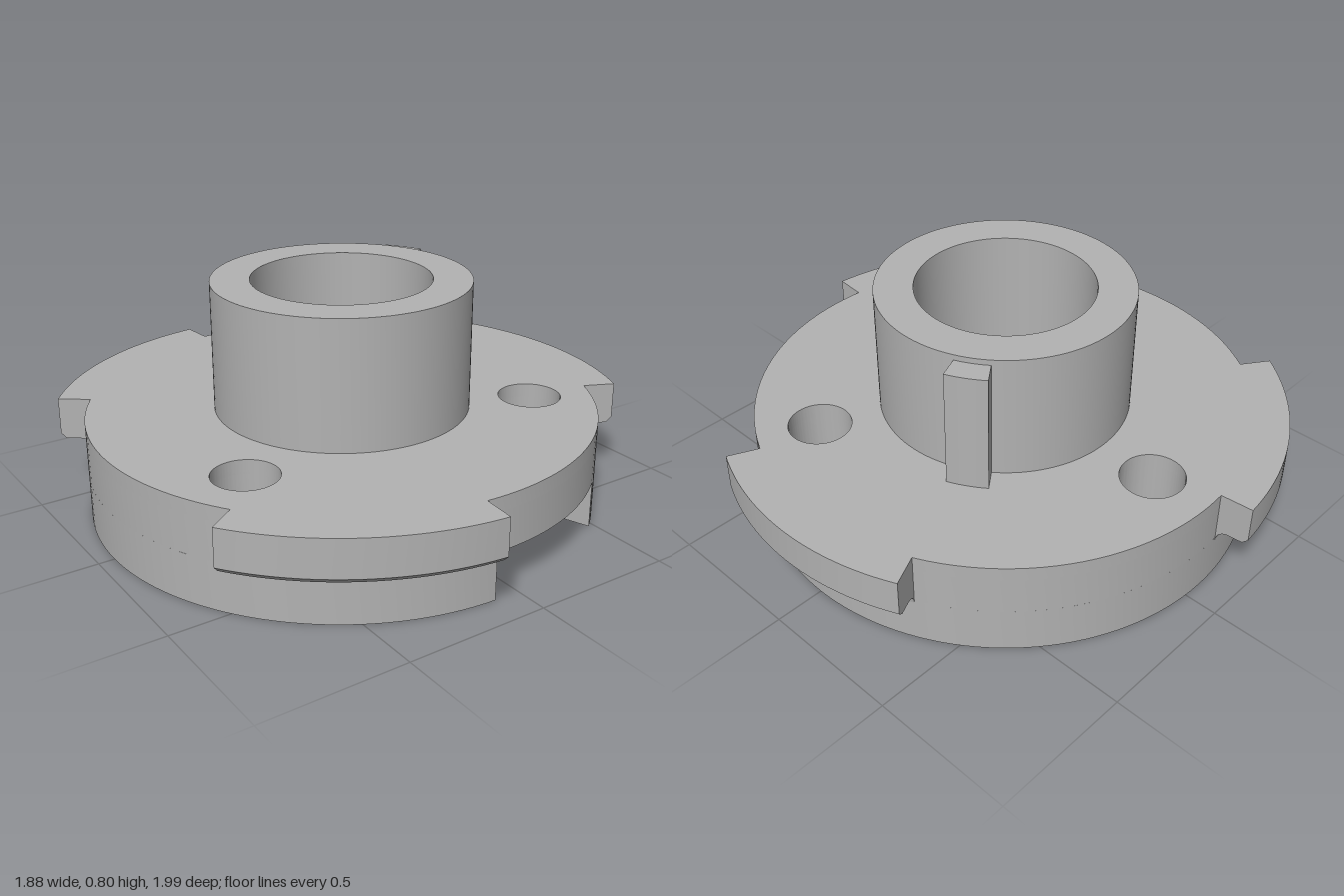
import * as THREE from 'three';
import { toCreasedNormals } from 'three/addons/utils/BufferGeometryUtils.js';

const R = 0.885;          // flange radius
const BOLT = 0.665;       // bolt circle radius
const HOLE = 0.11;        // bolt hole radius
const rad = THREE.MathUtils.degToRad;
const polar = (r, deg) => [r * Math.cos(rad(deg)), r * Math.sin(rad(deg))];

function circlePath(x, z, r) {
  return new THREE.Path().absarc(x, z, r, 0, Math.PI * 2, false);
}

// Plan shape in (x, z), extruded upward from y0 to y1
function slab(shape, y0, y1) {
  const g = new THREE.ExtrudeGeometry(shape, { depth: y1 - y0, bevelEnabled: false, curveSegments: 64 });
  g.rotateX(Math.PI / 2).translate(0, y1, 0);
  return toCreasedNormals(g, 0.5);
}

function disc(r, holes) {
  const s = new THREE.Shape();
  s.absarc(0, 0, r, 0, Math.PI * 2, false);
  s.holes = holes;
  return s;
}

// Radial profile (r, y) swept around the axis, centred on angle deg
function sweep(points, deg, halfDeg) {
  const shape = new THREE.Shape(points.map(([r, y]) => new THREE.Vector2(r, y)));
  const g = new THREE.ExtrudeGeometry(shape, { depth: 1, steps: 24, bevelEnabled: false });
  const p = g.attributes.position;
  for (let i = 0; i < p.count; i++) {
    const r = p.getX(i);
    const a = rad(deg + (p.getZ(i) - 0.5) * 2 * halfDeg);
    p.setXYZ(i, r * Math.cos(a), p.getY(i), r * Math.sin(a));
  }
  return toCreasedNormals(g, 0.5);
}

// Underside layer: disc outline with the branching channel cut in from the rim
function channelShape() {
  const s = new THREE.Shape();
  const arc = (x, z, r, a, b, cw = false) => s.absarc(x, z, r, rad(a), rad(b), cw);
  const lines = (pts) => pts.forEach(([x, z]) => s.lineTo(x, z));
  s.moveTo(...polar(R, 92));
  // long wall, then the branch to the left-hand bolt hole
  s.lineTo(-0.165, 0.41);
  s.quadraticCurveTo(-0.185, 0.335, -0.27, 0.35);
  arc(...polar(BOLT, 150), HOLE, 45, 265);
  lines([[-0.23, 0.206], [-0.13, 0.25]]);
  // round centre pocket
  arc(0, 0, 0.19, 115, 298);
  // branch to the rear bolt hole
  arc(...polar(BOLT, 270), HOLE, 114, 350);
  lines([[0.3, -0.04], [0.2, 0.05], [0.1, 0.19], [0.09, 0.31], [0.16, 0.31]]);
  // wavy fingers beside the channel
  s.quadraticCurveTo(0.23, 0.17, 0.32, 0.24);
  s.quadraticCurveTo(0.31, 0.33, 0.23, 0.45);
  s.lineTo(0.3, 0.47);
  s.quadraticCurveTo(0.34, 0.34, 0.467, 0.31);
  // front bolt hole and back out to the rim
  arc(...polar(BOLT, 30), HOLE, 192, 475);
  s.lineTo(0.46, 0.48);
  s.lineTo(...polar(R, 52.4));
  arc(0, 0, R, 52.4, 92 - 360, true);
  // blind pin holes
  s.holes = [5.5, 119.5, 189.4, 310].map((a) => circlePath(...polar(0.56, a), 0.085));
  return s;
}

export function createModel() {
  const group = new THREE.Group();
  const metal = new THREE.MeshStandardMaterial({ color: 0xb2b2b2 });
  metal.name = 'plain grey';
  const add = (name, geometry) => {
    const mesh = new THREE.Mesh(geometry, metal);
    mesh.name = name;
    group.add(mesh);
  };

  // Flange in three layers: channelled base, web and counterbored top
  const bolts = () => [30, 150, 270].map((a) => circlePath(...polar(BOLT, a), HOLE));
  add('channelledBase', slab(channelShape(), 0, 0.165));
  add('flangeWeb', slab(disc(R, [circlePath(0, 0, 0.155), ...bolts()]), 0.165, 0.3));
  add('flangeTop', slab(disc(R, [circlePath(0, 0, 0.31), ...bolts()]), 0.3, 0.35));

  // Hollow hub with its key
  add('hub', slab(disc(0.445, [circlePath(0, 0, 0.31)]), 0.35, 0.8));
  add('hubKey', sweep([[0.43, 0.35], [0.525, 0.35], [0.525, 0.78], [0.43, 0.78]], -30, 7.8));

  // Bayonet tabs: chamfered lower edge and a fillet into the rim
  const tab = [[0.87, 0.35], [0.87, 0.155], [0.885, 0.155]];
  for (let i = 1; i <= 6; i++) {
    const a = (i / 6) * Math.PI / 2;
    tab.push([0.93 - 0.045 * Math.cos(a), 0.155 + 0.045 * Math.sin(a)]);
  }
  tab.push([0.98, 0.2], [1, 0.22], [1, 0.35]);
  for (const a of [0, 120, 240]) add('bayonetTab', sweep(tab, a, 25));

  group.position.x = -0.06;
  const model = new THREE.Group();
  model.name = 'flangedHub';
  model.add(group);
  return model;
}
